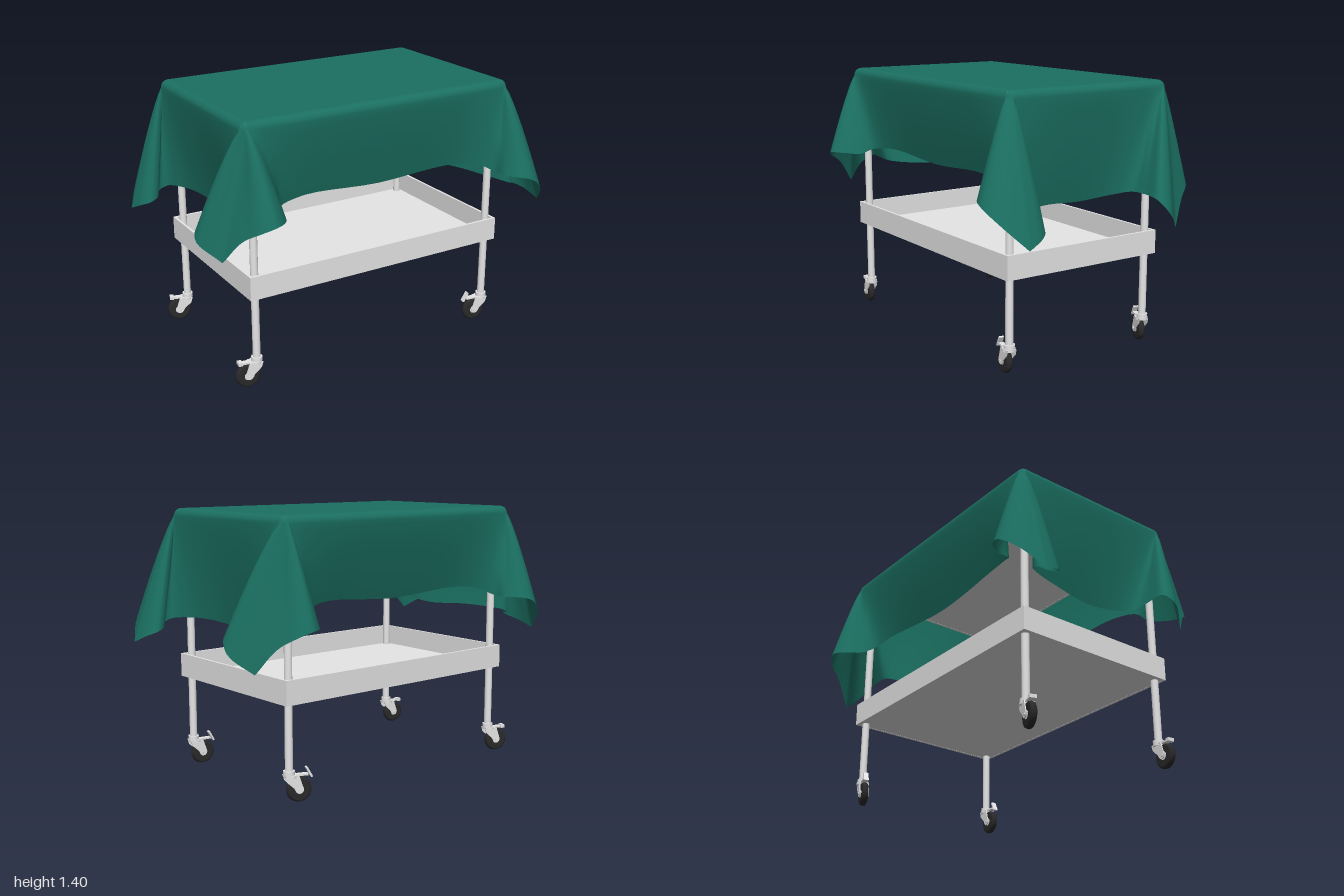
import * as THREE from 'three';

const mat = (name, color, side = THREE.FrontSide) => {
  const m = new THREE.MeshStandardMaterial({ color, side });
  m.name = name;
  return m;
};

const CX = -0.015, CZ = -0.004; // centre of the trolley frame
const { clamp, lerp, smoothstep } = THREE.MathUtils;

function add(parent, name, geometry, material, x = 0, y = 0, z = 0) {
  const mesh = new THREE.Mesh(geometry, material);
  mesh.name = name;
  mesh.position.set(x, y, z);
  parent.add(mesh);
  return mesh;
}

// Open tray: thin floor with four walls
function makeTray(name, y, h, metal) {
  const tray = new THREE.Group();
  tray.name = name;
  const w = 1.52, d = 0.944, t = 0.014;
  add(tray, 'trayFloor', new THREE.BoxGeometry(w - 0.01, 0.012, d - 0.01), metal, 0, 0.007, 0);
  for (const s of [-1, 1]) {
    add(tray, 'longWall', new THREE.BoxGeometry(w, h, t), metal, 0, h / 2, s * (d - t) / 2);
    add(tray, 'shortWall', new THREE.BoxGeometry(t, h, d - 2 * t), metal, s * (w - t) / 2, h / 2, 0);
  }
  tray.position.set(CX, y, CZ);
  return tray;
}

// Swivel caster trailing towards -x, with a brake pedal
function makeCaster(raised, metal, rubber) {
  const caster = new THREE.Group();
  caster.name = 'caster';
  add(caster, 'collar', new THREE.CylinderGeometry(0.029, 0.029, 0.022, 24), metal, 0, 0.152, 0);
  add(caster, 'swivelHead', new THREE.CylinderGeometry(0.034, 0.034, 0.014, 24), metal, -0.008, 0.135, 0);

  const side = new THREE.Shape();
  side.moveTo(0.027, 0.14);
  side.lineTo(-0.045, 0.14);
  side.lineTo(-0.068, 0.07);
  side.quadraticCurveTo(-0.065, 0.046, -0.045, 0.048);
  side.quadraticCurveTo(-0.03, 0.05, -0.02, 0.075);
  side.lineTo(0.018, 0.11);
  const plate = new THREE.ExtrudeGeometry(side, { depth: 0.005, bevelEnabled: false, curveSegments: 5 });
  for (const z of [-0.026, 0.021]) add(caster, 'forkPlate', plate, metal, 0, 0, z);
  add(caster, 'forkBridge', new THREE.BoxGeometry(0.06, 0.008, 0.05), metal, -0.01, 0.137, 0);

  // Rounded tyre turned about the axle
  const tyre = [[0.02, -0.016], [0.052, -0.018], [0.061, -0.013], [0.065, 0], [0.061, 0.013], [0.052, 0.018], [0.02, 0.016]]
    .map(([r, y]) => new THREE.Vector2(r, y));
  add(caster, 'tyre', new THREE.LatheGeometry(tyre, 32), rubber, -0.05, 0.066, 0).rotation.x = Math.PI / 2;
  add(caster, 'hub', new THREE.CylinderGeometry(0.022, 0.022, 0.034, 20), metal, -0.05, 0.066, 0).rotation.x = Math.PI / 2;
  add(caster, 'axle', new THREE.CylinderGeometry(0.008, 0.008, 0.06, 12), metal, -0.05, 0.066, 0).rotation.x = Math.PI / 2;

  add(caster, 'brakeArm', new THREE.BoxGeometry(0.06, 0.009, 0.03), metal, -0.066, 0.138, 0);
  if (raised) {
    add(caster, 'brakePedal', new THREE.BoxGeometry(0.01, 0.058, 0.026), metal, -0.102, 0.148, 0).rotation.z = -0.5;
  } else {
    add(caster, 'brakePedal', new THREE.BoxGeometry(0.022, 0.018, 0.036), metal, -0.09, 0.139, 0);
  }
  return caster;
}

// Hem points: [position along the flat cloth edge, x, y, z]
const FLAT_X = 1.34, FLAT_Z = 0.92;
const frontHem = [
  [-1.34, -0.912, 0.697, 0.455], [-1.1, -0.85, 0.825, 0.55], [-0.96, -0.79, 0.885, 0.638],
  [-0.87, -0.725, 0.91, 0.665], [-0.79, -0.655, 0.91, 0.62], [-0.72, -0.615, 0.91, 0.54],
  [-0.64, -0.6, 0.945, 0.465], [-0.46, -0.46, 0.972, 0.425], [0, 0, 0.947, 0.405], [0.46, 0.46, 0.972, 0.425],
  [0.6, 0.62, 0.95, 0.46], [0.68, 0.69, 0.915, 0.5], [0.76, 0.7, 0.91, 0.575], [0.83, 0.745, 0.91, 0.64],
  [0.93, 0.82, 0.89, 0.665], [1.08, 0.92, 0.815, 0.622], [1.34, 0.996, 0.705, 0.52],
];
const sideHem = [
  [0.92, 0.996, 0.705, 0.52], [0.75, 0.972, 0.745, 0.43], [0.65, 0.93, 0.768, 0.388],
  [0.57, 0.885, 0.785, 0.4], [0.49, 0.858, 0.8, 0.452], [0.43, 0.81, 0.82, 0.45], [0.35, 0.762, 0.832, 0.36],
  [0.22, 0.725, 0.835, 0.22], [0, 0.7, 0.822, 0], [-0.2, 0.715, 0.835, -0.18],
  [-0.36, 0.765, 0.85, -0.28], [-0.46, 0.85, 0.855, -0.29], [-0.6, 0.964, 0.845, -0.284],
  [-0.72, 0.992, 0.785, -0.345], [-0.92, 0.912, 0.697, -0.455],
];

// Draped cloth: flat top, rounded edge, then skirt lofted down to the hem
function makeClothGeometry() {
  const N = 84, ROUND = 5, DROP = 16, TOP = 1.405, R = 0.04;
  const columns = [];
  for (const turn of [1, -1]) {
    for (const [hem, isFront] of [[frontHem, true], [sideHem, false]]) {
      const edge = new THREE.CatmullRomCurve3(hem.map(p => new THREE.Vector3(p[1], p[2], p[3])));
      const flat = new THREE.CatmullRomCurve3(hem.map(p =>
        isFront ? new THREE.Vector3(p[0], 0, FLAT_Z) : new THREE.Vector3(FLAT_X, 0, p[0])));
      for (let i = 0; i < N; i++) {
        const e = edge.getPoint(i / N), f = flat.getPoint(i / N);
        for (const v of [e, f]) { v.x *= turn; v.z *= turn; }
        // The cloth lies slightly askew: one flap hangs higher, the opposite one lower
        e.y += 0.03 * Math.sign(e.z) * smoothstep(-e.x * e.z, 0.2, 0.4);
        columns.push([e, f]);
      }
    }
  }

  const pos = [], index = [], rows = ROUND + DROP + 1, count = columns.length;
  for (const [hem, flat] of columns) {
    const inner = new THREE.Vector3(clamp(flat.x, -0.762, 0.735), TOP, clamp(flat.z, -0.462, 0.443));
    const out = new THREE.Vector3(flat.x - inner.x, 0, flat.z - inner.z).normalize();
    for (let j = 0; j <= ROUND; j++) {
      const a = (j / ROUND) * Math.PI / 2;
      pos.push(inner.x + out.x * R * Math.sin(a), TOP - R * (1 - Math.cos(a)), inner.z + out.z * R * Math.sin(a));
    }
    const start = inner.clone().addScaledVector(out, R);
    start.y -= R;
    // Flared corners bow outwards; straight panels hang plumb first, then drift inwards
    const flare = smoothstep(Math.hypot(hem.x - start.x, hem.z - start.z), 0.08, 0.18);
    const power = lerp(1.25, 0.83, flare);
    for (let j = 1; j <= DROP; j++) {
      const s = j / DROP, h = Math.pow(s, power);
      pos.push(start.x + (hem.x - start.x) * h, start.y + (hem.y - start.y) * s, start.z + (hem.z - start.z) * h);
    }
  }
  const centre = pos.length / 3;
  pos.push(CX, TOP, CZ);
  for (let i = 0; i < count; i++) {
    const a = i * rows, b = ((i + 1) % count) * rows;
    index.push(centre, a, b);
    for (let j = 0; j < rows - 1; j++) index.push(a + j, a + j + 1, b + j, b + j, a + j + 1, b + j + 1);
  }
  const g = new THREE.BufferGeometry();
  g.setAttribute('position', new THREE.Float32BufferAttribute(pos, 3));
  g.setIndex(index);
  g.computeVertexNormals();
  return g;
}

export function createModel() {
  const metal = mat('brushed metal', 0xe6e6e6);
  const rubber = mat('black rubber', 0x2a2a2a);
  const cloth = mat('green cloth', 0x1b7062, THREE.DoubleSide);

  const model = new THREE.Group();
  model.name = 'coveredTrolley';
  model.add(makeTray('lowerTray', 0.496, 0.125, metal), makeTray('upperTray', 1.315, 0.08, metal));

  // Legs and casters at the four corners
  const tube = new THREE.CylinderGeometry(0.02, 0.02, 1.235, 24);
  for (const sx of [-1, 1]) {
    for (const sz of [-1, 1]) {
      const x = CX + sx * 0.718, z = CZ + sz * 0.431;
      add(model, 'leg', tube, metal, x, 0.1525 + 1.235 / 2, z);
      const caster = makeCaster(sx > 0, metal, rubber);
      caster.position.set(x, 0, z);
      caster.rotation.y = sz > 0 ? -0.15 : -0.35;
      model.add(caster);
    }
  }

  add(model, 'drapedCloth', makeClothGeometry(), cloth);
  return model;
}
